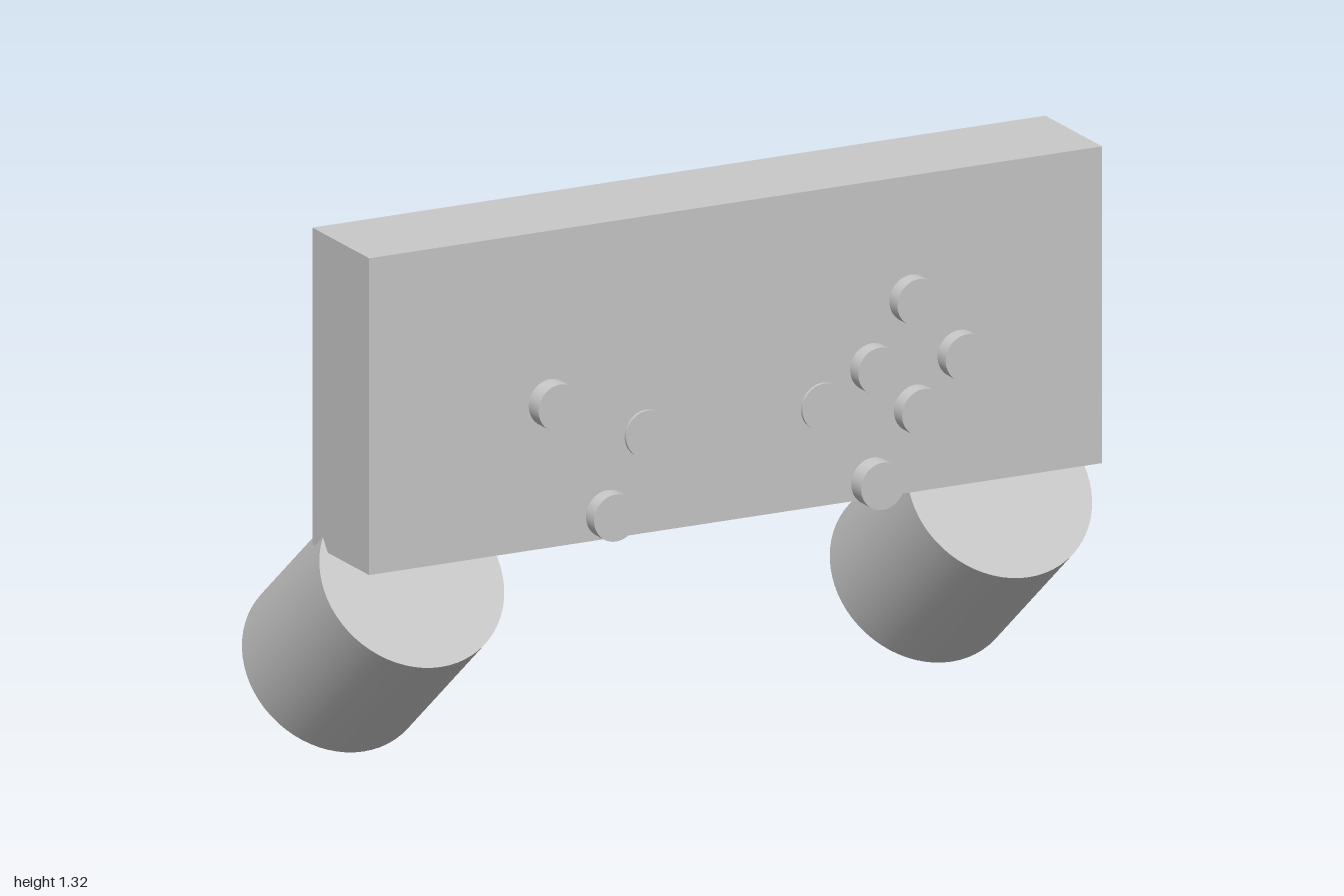
import * as THREE from 'three';

export function createModel() {
  const model = new THREE.Group();
  const grey = new THREE.MeshStandardMaterial({ color: 0xc8c8c8 });
  grey.name = 'light grey';

  function add(name, geometry, x, y, z, tilt = 0) {
    const mesh = new THREE.Mesh(geometry, grey);
    mesh.name = name;
    mesh.position.set(x, y, z);
    mesh.rotation.x = tilt;
    model.add(mesh);
  }

  // Upright slab
  add('body', new THREE.BoxGeometry(1.92, 0.765, 0.28), 0, 0.938, 0.144);

  // Tilted cylindrical grips, one at each end
  const grip = new THREE.CylinderGeometry(0.23, 0.23, 0.488, 64);
  add('leftGrip', grip, 0.77, 0.333, -0.054, 0.896);
  add('rightGrip', grip, -0.77, 0.333, -0.054, 0.896);

  // Round buttons: x, y and z of the front face
  const button = new THREE.CylinderGeometry(0.057, 0.057, 0.049, 48);
  button.rotateX(Math.PI / 2);
  const buttons = [
    [-0.515, 0.924, 0.389], [0.33, 0.616, 0.389],
    [-0.335, 0.616, 0.324], [0.357, 0.873, 0.324], [0.46, 1.024, 0.324],
    [0.586, 0.873, 0.324], [0.472, 0.757, 0.324],
    [-0.234, 0.796, 0.292], [0.228, 0.796, 0.292],
  ];
  buttons.forEach(([x, y, front], i) => add(`button${i + 1}`, button, x, y, front - 0.0245));

  return model;
}
